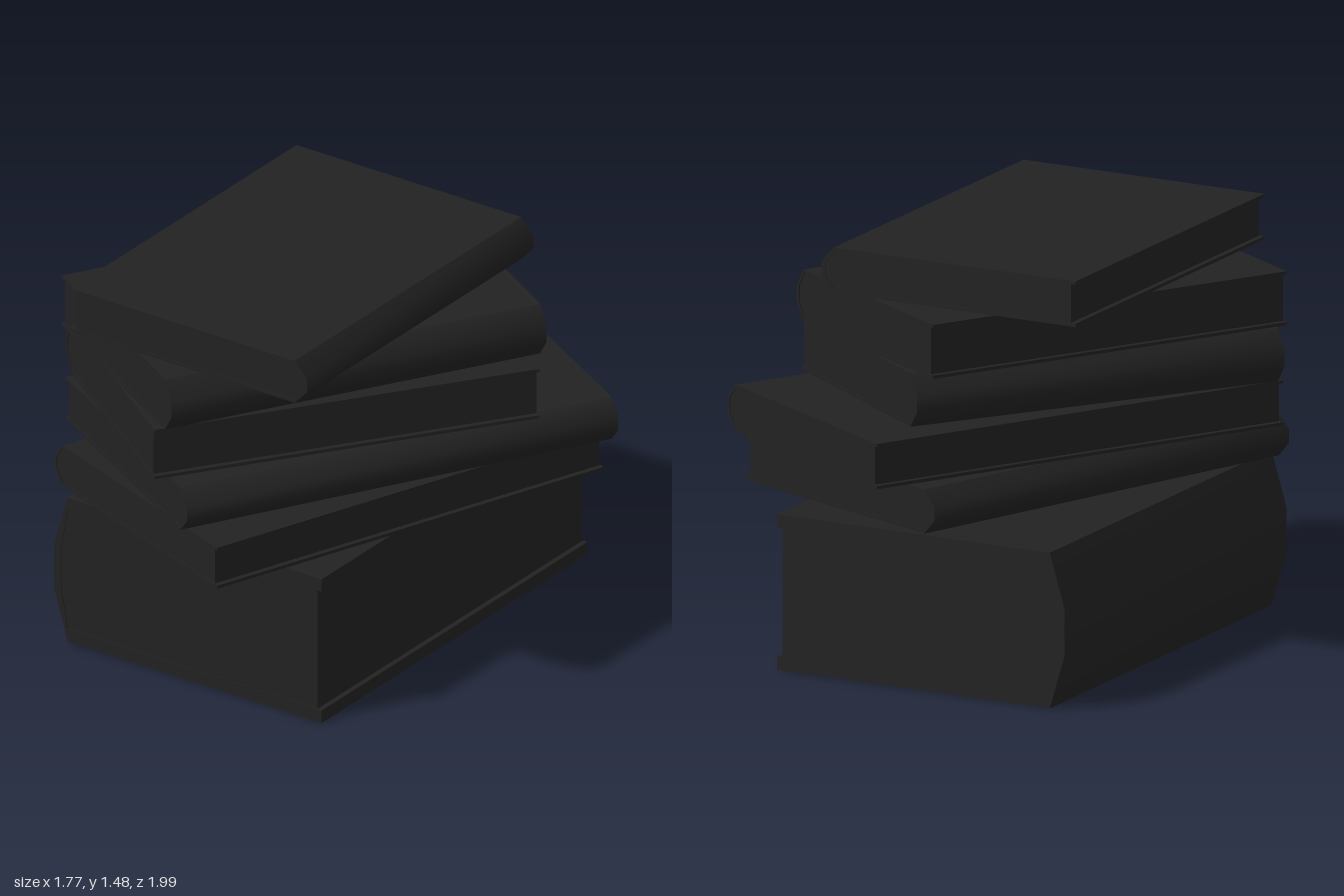
import * as THREE from 'three';
import { toCreasedNormals } from 'three/addons/utils/BufferGeometryUtils.js';

const charcoal = new THREE.MeshStandardMaterial({ color: 0x222222 });
charcoal.name = 'charcoal';

// Extrude an (x, y) outline along z, centred on z = 0
function slab(points, length) {
  const shape = new THREE.Shape(points.map(([x, y]) => new THREE.Vector2(x, y)));
  const geometry = new THREE.ExtrudeGeometry(shape, { depth: length, bevelEnabled: false });
  return geometry.translate(0, 0, -length / 2);
}

// One hardback with its spine at local +x, standing on y = 0
function createBook({ width, length, height, board, spineWall, bulge }) {
  const book = new THREE.Group();
  const add = (name, geometry) => {
    const mesh = new THREE.Mesh(geometry, charcoal);
    mesh.name = name;
    book.add(mesh);
    return mesh;
  };
  const fore = -width / 2;
  const hinge = width / 2 - bulge;
  const tip = width / 2;
  const low = height * 0.35;
  const high = height * 0.65;

  // Cover boards
  for (const [name, y] of [['bottomCover', board / 2], ['topCover', height - board / 2]]) {
    add(name, new THREE.BoxGeometry(hinge - fore, board, length))
      .position.set((fore + hinge) / 2, y, 0);
  }

  // Rounded spine, a bent shell of even thickness
  const inner = [[hinge, board], [tip - spineWall, low], [tip - spineWall, high], [hinge, height - board]];
  const outer = [[hinge, 0], [tip, low], [tip, high], [hinge, height]];
  add('spine', toCreasedNormals(slab([...outer, ...inner.slice().reverse()], length), Math.PI / 3));

  // Page block, set back from the fore edge
  const edge = fore + 0.02;
  add('pages', slab([[edge, board], ...inner, [edge, height - board]], length - 0.008));
  return book;
}

export function createModel() {
  const stack = new THREE.Group();
  stack.name = 'bookStack';
  const thin = { board: 0.012, spineWall: 0.016, bulge: 0.055 };
  const thick = { board: 0.05, spineWall: 0.032, bulge: 0.06 };

  // From the bottom up: centre, base height, turn in degrees, size
  const books = [
    { x: -0.145, z: -0.105, y: 0, turn: 180, width: 1.17, length: 1.63, height: 0.573, ...thick },
    { x: -0.012, z: 0.03, y: 0.575, turn: 159.7, width: 1.03, length: 1.665, height: 0.163, ...thin },
    { x: 0.016, z: -0.01, y: 0.74, turn: -29.5, width: 1.02, length: 1.695, height: 0.167, ...thin },
    { x: -0.083, z: 0.09, y: 0.911, turn: 144.8, width: 0.948, length: 1.453, height: 0.197, ...thin },
    { x: -0.078, z: 0.09, y: 1.11, turn: -30.4, width: 0.953, length: 1.463, height: 0.199, ...thin },
    { x: -0.0625, z: 0.125, y: 1.311, turn: 0, width: 1.035, length: 1.39, height: 0.168, ...thin },
  ];
  books.forEach((spec, i) => {
    const book = createBook(spec);
    book.name = `book${i + 1}`;
    book.position.set(spec.x, spec.y, spec.z);
    book.rotation.y = THREE.MathUtils.degToRad(spec.turn);
    stack.add(book);
  });
  return stack;
}
